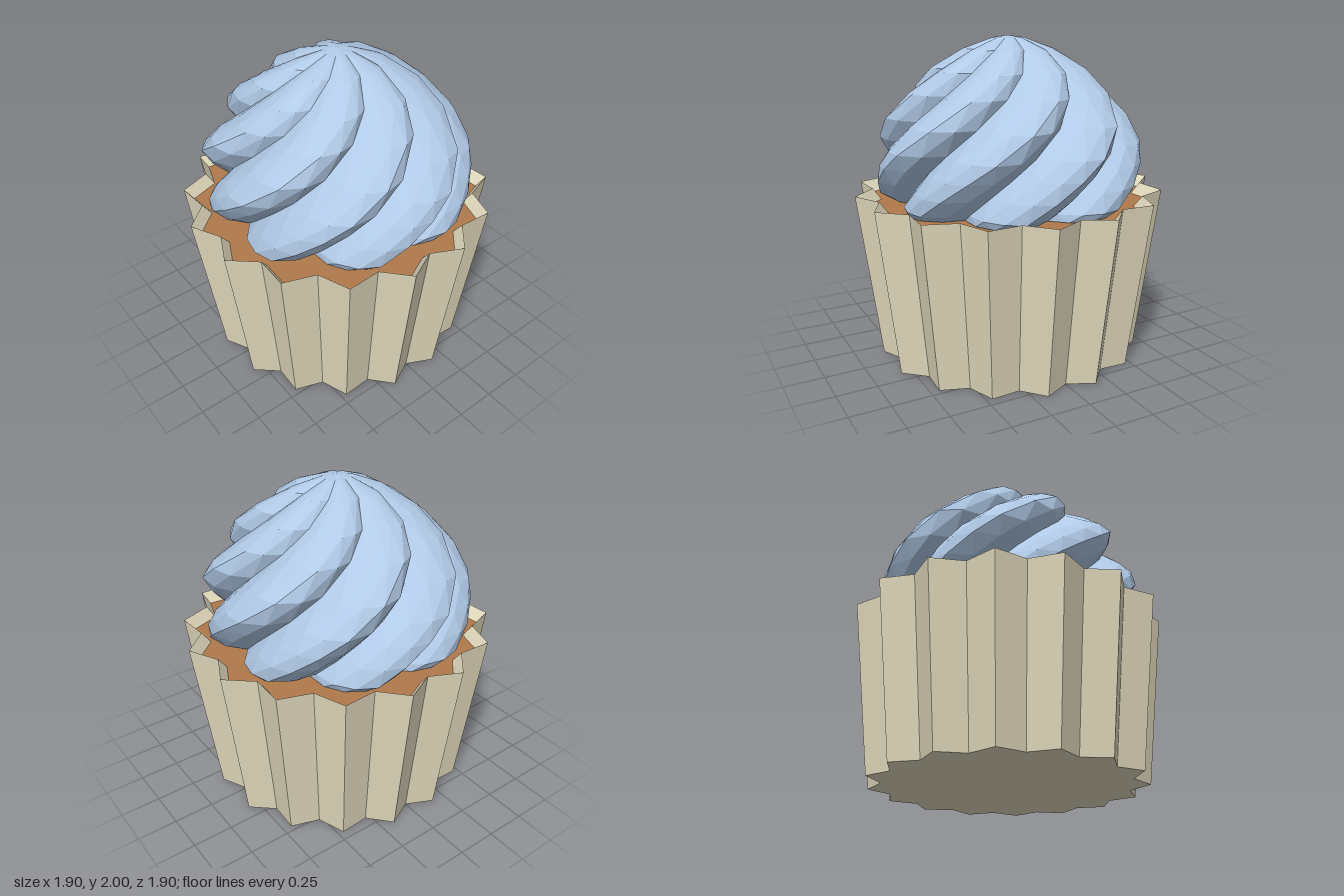
import * as THREE from 'three';

const PLEATS = 16;
const LOBES = 8;

// Skins a stack of closed loops, listed from the outside bottom upwards.
// point(row, column) returns [angle, radius, y]; angle 0 faces +z.
function loft(rows, columns, point) {
  const at = (i, j) => {
    const [angle, radius, y] = point(rows[i], j % columns);
    return new THREE.Vector3(radius * Math.sin(angle), y, radius * Math.cos(angle));
  };
  const positions = [];
  const triangle = (a, b, c) => {
    if (a.distanceTo(b) < 1e-6 || b.distanceTo(c) < 1e-6 || c.distanceTo(a) < 1e-6) return;
    for (const v of [a, b, c]) positions.push(v.x, v.y, v.z);
  };
  for (let i = 0; i < rows.length - 1; i++) {
    for (let j = 0; j < columns; j++) {
      const a = at(i, j), b = at(i, j + 1), c = at(i + 1, j + 1), d = at(i + 1, j);
      triangle(a, b, d);
      triangle(b, c, d);
    }
  }
  const geometry = new THREE.BufferGeometry();
  geometry.setAttribute('position', new THREE.Float32BufferAttribute(positions, 3));
  geometry.computeVertexNormals();
  return geometry;
}

// Pleated star outline: folds in at even columns and out at odd ones
function pleat([scale, y], j) {
  const radius = j % 2 ? 0.97 : 0.86;
  return [(j * Math.PI) / PLEATS, radius * scale, y];
}

// Twisted lobes: each swells from its groove to a crest and drops off more sharply
const LOBE = [[0, 0.8], [0.2, 0.92], [0.4, 0.985], [0.6, 1], [0.82, 0.92]];
function swirl([radius, y], j) {
  const [along, size] = LOBE[j % LOBE.length];
  const turn = ((Math.floor(j / LOBE.length) + along) / LOBES) * Math.PI * 2;
  const twist = THREE.MathUtils.degToRad(100 * (y - 1.05));
  return [turn + twist, radius * size, y];
}

export function createModel() {
  const material = (name, color) => {
    const m = new THREE.MeshStandardMaterial({ color, flatShading: true });
    m.name = name;
    return m;
  };
  const paper = material('cream paper', 0xe4dcbf);
  const sponge = material('brown sponge', 0xb07a4a);
  const icing = material('blue icing', 0xb0c9e6);

  const group = new THREE.Group();
  group.name = 'cupcake';
  const add = (name, geometry, mat) => {
    const mesh = new THREE.Mesh(geometry, mat);
    mesh.name = name;
    group.add(mesh);
  };

  // Paper cup: base, pleated wall and inner lip
  add('wrapper', loft([[0, 0], [0.862, 0], [1, 1.05], [0.92, 0.96]], PLEATS * 2, pleat), paper);

  // Cake surface filling the cup just below the rim
  add('cake', loft([[0.938, 0.98], [0, 0.98]], PLEATS * 2, pleat), sponge);

  // Piped frosting dome
  const dome = [
    [0, 0.985], [0.76, 0.985], [0.81, 1.03], [0.832, 1.14], [0.835, 1.25], [0.825, 1.36], [0.76, 1.51],
    [0.63, 1.67], [0.48, 1.8], [0.28, 1.92], [0.1, 1.985], [0, 2],
  ];
  add('frosting', loft(dome, LOBES * LOBE.length, swirl), icing);

  return group;
}
